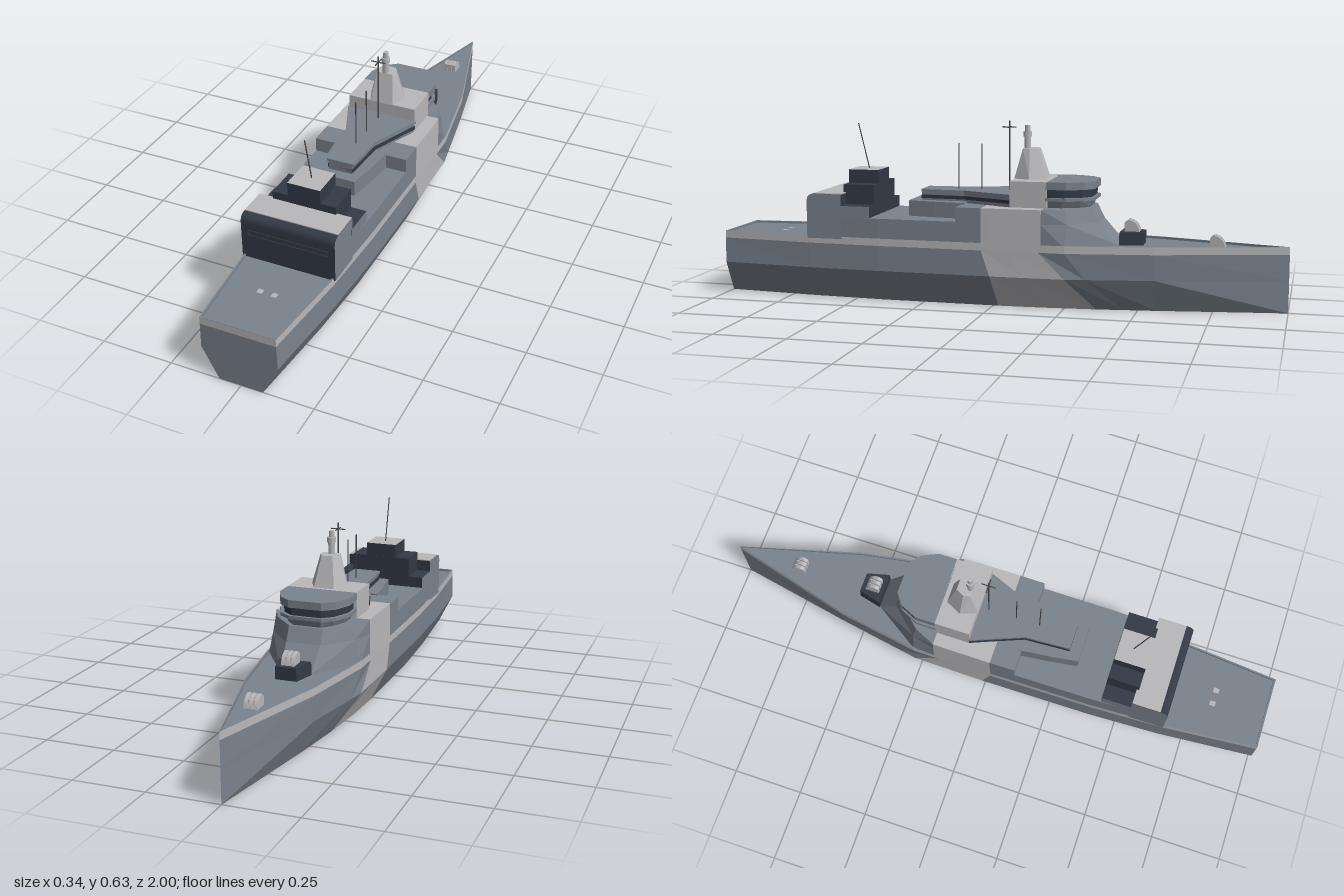
import * as THREE from 'three';

const material = (name, color, side = THREE.FrontSide) => {
  const m = new THREE.MeshStandardMaterial({ color, side });
  m.name = name;
  return m;
};

// Linear interpolation through [z, value] stations
function along(stations, z) {
  for (let i = 1; i < stations.length; i++) {
    const [z0, v0] = stations[i - 1], [z1, v1] = stations[i];
    if (z <= z1) return v0 + (v1 - v0) * (z - z0) / (z1 - z0);
  }
  return stations[stations.length - 1][1];
}
const TOP = [[-1, 0], [-0.56, 0.12], [-0.26, 0.17], [0, 0.172], [0.4, 0.17], [0.66, 0.16], [1, 0.13]];
const CHINE = [[-1, 0], [-0.56, 0.115], [-0.26, 0.168], [0, 0.172], [0.4, 0.17], [0.66, 0.16], [1, 0.132]];
const KEEL = [[-1, 0], [-0.56, 0.07], [-0.26, 0.11], [0, 0.12], [0.4, 0.118], [0.66, 0.105], [1, 0.076]];

// Collects flat quads, one geometry group per material slot
function facets(slots) {
  const lists = slots.map(() => []);
  return {
    quad(slot, a, b, c, d) { for (const p of [a, b, c, a, c, d]) lists[slot].push(...p); },
    mesh(name) {
      const g = new THREE.BufferGeometry();
      g.setAttribute('position', new THREE.Float32BufferAttribute(lists.flat(), 3));
      let start = 0;
      lists.forEach((l, i) => { g.addGroup(start, l.length / 3, i); start += l.length / 3; });
      g.computeVertexNormals();
      const m = new THREE.Mesh(g, slots);
      m.name = name;
      return m;
    },
  };
}
const flip = ([x, y, z]) => [-x, y, z];

// Mirrored solid through levels [y, half outline of [x, z] from fore to aft]
function loft(name, mat, ...levels) {
  const f = facets([mat]);
  const rings = levels.map(([y, pts]) => pts.map(([x, z]) => [x, y, z]));
  const n = rings[0].length;
  for (let k = 0; k + 1 < rings.length; k++) {
    const lo = rings[k], up = rings[k + 1];
    for (let i = 0; i + 1 < n; i++) {
      f.quad(0, lo[i], up[i], up[i + 1], lo[i + 1]);
      f.quad(0, flip(lo[i]), flip(lo[i + 1]), flip(up[i + 1]), flip(up[i]));
    }
    const e = n - 1;
    f.quad(0, lo[0], flip(lo[0]), flip(up[0]), up[0]);
    f.quad(0, lo[e], up[e], flip(up[e]), flip(lo[e]));
  }
  const top = rings[rings.length - 1], bot = rings[0];
  for (let i = 0; i + 1 < n; i++) {
    f.quad(0, flip(top[i]), flip(top[i + 1]), top[i + 1], top[i]);
    f.quad(0, bot[i], bot[i + 1], flip(bot[i + 1]), flip(bot[i]));
  }
  return f.mesh(name);
}

// Side profile of [z, y] points extruded across the ship
function profile(name, mats, shape, width, x = 0) {
  const g = new THREE.ExtrudeGeometry(shape, { depth: width, bevelEnabled: false, curveSegments: 8 });
  g.translate(0, 0, -width / 2).rotateY(-Math.PI / 2).translate(x, 0, 0);
  const m = new THREE.Mesh(g, mats);
  m.name = name;
  return m;
}

export function createModel() {
  const grey = material('blueGrey', 0x7b838d);
  const light = material('lightGrey', 0xb9b9bd);
  const navy = material('navy', 0x333a46);
  const dark = material('darkGrey', 0x48494c);
  const ship = new THREE.Group();
  ship.name = 'warship';

  const box = (name, mat, x0, x1, y0, y1, z0, z1) => {
    const m = new THREE.Mesh(new THREE.BoxGeometry(x1 - x0, y1 - y0, z1 - z0), mat);
    m.position.set((x0 + x1) / 2, (y0 + y1) / 2, (z0 + z1) / 2);
    m.name = name;
    ship.add(m);
  };
  const rod = (name, mat, a, b, r, sides = 6) => {
    const p = new THREE.Vector3(...a), d = new THREE.Vector3(...b).sub(p);
    const m = new THREE.Mesh(new THREE.CylinderGeometry(r, r, d.length(), sides), mat);
    m.position.copy(p).addScaledVector(d, 0.5);
    m.quaternion.setFromUnitVectors(new THREE.Vector3(0, 1, 0), d.normalize());
    m.name = name;
    ship.add(m);
  };

  // Hull: columns give z at keel, chine, band and rail; columns 3 to 5 hold the light patch
  const columns = [
    [-1, -1, -1], [-0.56, -0.56, -0.56], [-0.45, -0.33, -0.26], [-0.36, -0.26, -0.17],
    [-0.18, -0.12, -0.06], [-0.02, 0, 0.03], [0.4, 0.4, 0.4], [0.66, 0.66, 0.66], [1, 1, 1],
  ];
  const hull = facets([grey, light]);
  const sections = columns.map(([zk, zc, zt]) => {
    const w = along(TOP, zt), inner = Math.max(0, w - 0.006);
    return [
      [0, 0.003, zk], [along(KEEL, zk), 0.003, zk], [along(CHINE, zc), 0.115, zc], [w, 0.204, zt],
      [w, 0.23, zt], [inner, 0.23, zt], [inner, 0.222, zt], [0, 0.222, zt],
    ];
  });
  for (let i = 0; i + 1 < sections.length; i++) {
    const s = sections[i], t = sections[i + 1];
    for (let r = 0; r < 7; r++) {
      const patch = (r === 1 || r === 2) && (i === 3 || i === 4);
      const slot = patch || r === 3 ? 1 : 0;
      hull.quad(slot, s[r], s[r + 1], t[r + 1], t[r]);
      hull.quad(slot, flip(s[r]), flip(t[r]), flip(t[r + 1]), flip(s[r + 1]));
    }
  }
  const stern = sections[sections.length - 1];
  for (let r = 1; r < 4; r++) {
    hull.quad(r === 3 ? 1 : 0, stern[r], stern[r + 1], flip(stern[r + 1]), flip(stern[r]));
  }
  ship.add(hull.mesh('hull'));
  box('sternRail', grey, -0.125, 0.125, 0.222, 0.23, 0.993, 0.999);
  for (const s of [-1, 1]) box('deckFitting', light, s * 0.025 - 0.009, s * 0.025 + 0.009, 0.221, 0.224, 0.8, 0.82);

  // Superstructure flush with the hull sides
  const flush = (...zs) => zs.map(z => [along(TOP, z), z]);
  const block = (name, mat, y0, y1, ...zs) => ship.add(loft(name, mat, [y0, flush(...zs)], [y1, flush(...zs)]));
  block('boatDeck', grey, 0.23, 0.3, 0.12, 0.4, 0.54);
  block('aftHouse', grey, 0.23, 0.35, 0.03, 0.12);
  block('midHouse', light, 0.23, 0.35, -0.18, 0, 0.03);
  ship.add(loft('foreHouse', grey,
    [0.222, [[0.055, -0.43], [0.166, -0.26], [0.17, -0.18]]],
    [0.3, [[0.06, -0.36], [0.147, -0.265], [0.17, -0.18]]],
    [0.35, [[0.06, -0.335], [0.135, -0.255], [0.17, -0.18]]]));

  // Tapered deckhouse and its upper storey with a lattice strip
  const lower = [[0.097, 0.11], [0.085, 0.22], [0.07, 0.32]];
  ship.add(loft('deckhouse', grey, [0.3, lower], [0.355, lower]));
  const upper = [[0.125, -0.06], [0.1, 0], [0.052, 0.12], [0.043, 0.28]];
  const grown = d => upper.map(([x, z]) => [x + d, z]);
  ship.add(loft('upperHouse', grey, [0.35, upper], [0.385, upper]));
  ship.add(loft('latticeStrip', navy, [0.362, grown(0.004)], [0.374, grown(0.004)]));
  ship.add(loft('upperRoof', grey, [0.385, grown(0.006)], [0.394, grown(0.006)]));

  // Bridge
  const bridge = d => [[0.058 - d / 2, -0.345 + d], [0.098 - d, -0.315 + d], [0.125 - d, -0.255 + d], [0.125 - d, -0.185]];
  ship.add(loft('bridgeNeck', grey, [0.35, bridge(0.02)], [0.375, bridge(0.012)]));
  ship.add(loft('bridgeLedge', grey, [0.375, bridge(0)], [0.386, bridge(0)]));
  ship.add(loft('bridgeWindows', navy, [0.386, bridge(0.01)], [0.414, bridge(0.01)]));
  ship.add(loft('bridgeRoof', grey, [0.414, bridge(0)], [0.44, bridge(0)]));
  box('bridgeRear', light, -0.125, 0.125, 0.35, 0.44, -0.19, -0.06);

  // Hexagonal tower with sensor head
  ship.add(loft('tower', light,
    [0.44, [[0.036, -0.17], [0.064, -0.115], [0.042, -0.057]]],
    [0.545, [[0.02, -0.138], [0.034, -0.11], [0.03, -0.085]]]));
  rod('sensorPost', light, [0, 0.545, -0.095], [0, 0.585, -0.095], 0.012, 8);
  rod('sensorRing', light, [0, 0.585, -0.095], [0, 0.602, -0.095], 0.016, 8);
  rod('sensorCap', light, [0, 0.602, -0.095], [0, 0.624, -0.095], 0.01, 8);

  // Whip aerials and cross mast
  for (const z of [0.07, 0.155]) rod('aerial', dark, [0, 0.39, z], [0, 0.555, z], 0.002);
  rod('crossMast', dark, [0, 0.39, -0.03], [0, 0.638, -0.03], 0.0025);
  rod('crossArm', dark, [-0.026, 0.616, -0.03], [0.026, 0.616, -0.03], 0.002);
  rod('crossArm', dark, [0, 0.616, -0.055], [0, 0.616, -0.005], 0.002);
  rod('funnelAerial', dark, [0, 0.457, 0.49], [0, 0.62, 0.53], 0.002);

  // Hangar with rounded aft edge, dark door face and light roof
  const side = new THREE.Shape();
  side.moveTo(0.54, 0.222);
  side.lineTo(0.668, 0.222);
  side.lineTo(0.668, 0.352);
  side.quadraticCurveTo(0.668, 0.38, 0.64, 0.38);
  side.lineTo(0.54, 0.38);
  ship.add(profile('hangar', [grey, navy], side, 0.33));
  box('hangarRoof', light, -0.164, 0.164, 0.379, 0.383, 0.54, 0.64);
  for (const y of [0.309, 0.327]) box('doorSeam', dark, -0.142, 0.142, y, y + 0.002, 0.667, 0.669);
  for (const x of [-0.142, 0.14]) box('doorSeam', dark, x, x + 0.002, 0.309, 0.329, 0.667, 0.669);

  // Stepped funnel
  box('funnelBase', [grey, grey, navy, navy, navy, navy], -0.166, 0.166, 0.29, 0.34, 0.435, 0.545);
  box('funnelMiddle', navy, -0.112, 0.112, 0.34, 0.41, 0.435, 0.548);
  box('funnelTop', [navy, navy, light, navy, navy, navy], -0.058, 0.058, 0.41, 0.458, 0.437, 0.548);

  // Gun mount and two gun shields, each of three rounded lobes
  ship.add(loft('gunMount', navy,
    [0.222, [[0.038, -0.51], [0.058, -0.43]]], [0.266, [[0.036, -0.51], [0.056, -0.43]]]));
  const gun = (z, y) => {
    const s = new THREE.Shape();
    s.moveTo(z - 0.027, y);
    s.lineTo(z + 0.025, y);
    s.lineTo(z + 0.025, y + 0.03);
    s.lineTo(z + 0.012, y + 0.04);
    s.quadraticCurveTo(z - 0.02, y + 0.036, z - 0.027, y);
    for (const x of [-0.017, 0, 0.017]) ship.add(profile('gunLobe', light, s, 0.012, x));
    box('gunCore', light, -0.02, 0.02, y, y + 0.026, z - 0.015, z + 0.022);
  };
  gun(-0.468, 0.266);
  gun(-0.76, 0.222);
  return ship;
}
